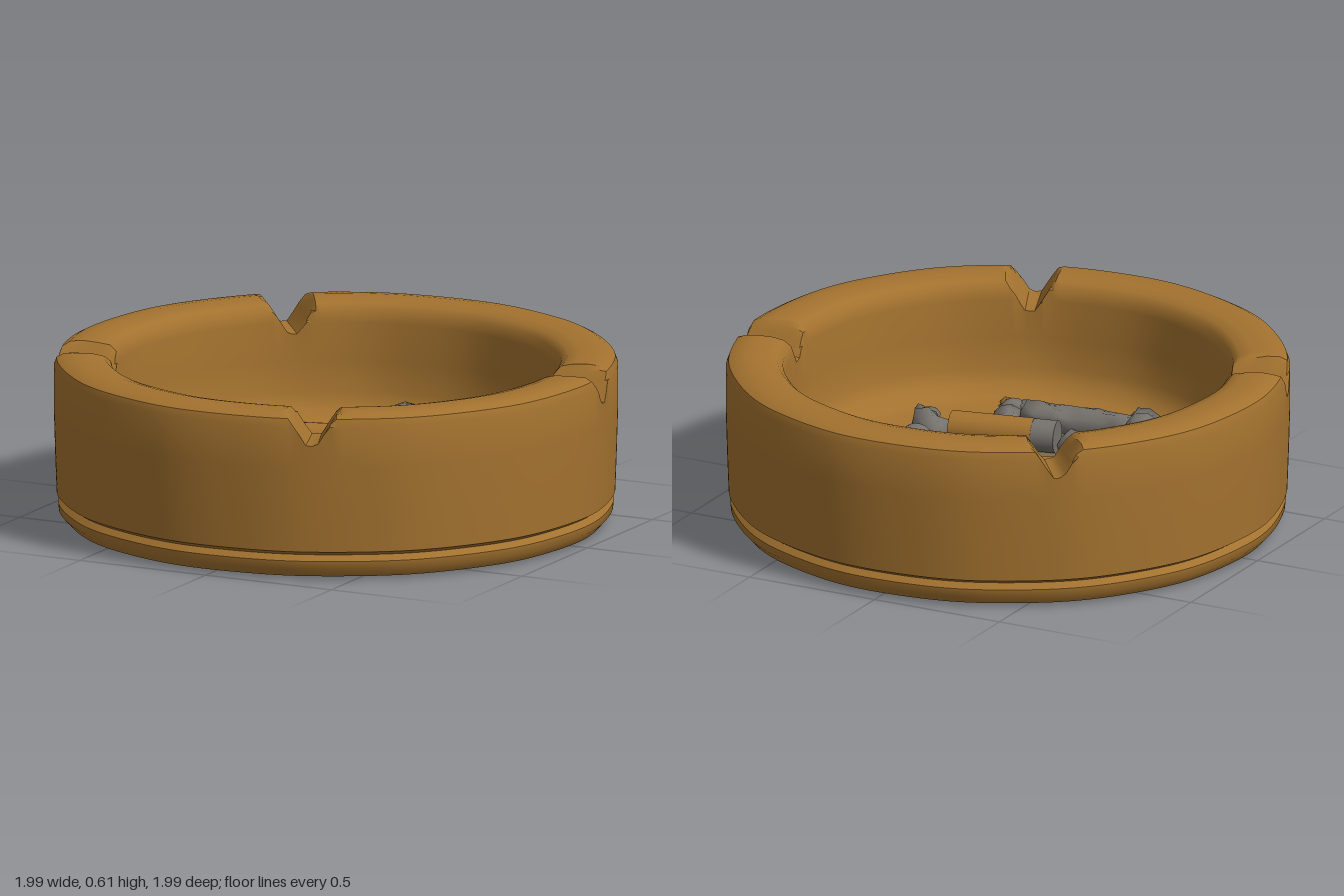
import * as THREE from 'three';
import { mergeGeometries, mergeVertices, toCreasedNormals } from 'three/addons/utils/BufferGeometryUtils.js';

const FLOOR = 0.19;
const clay = new THREE.MeshStandardMaterial({ color: 0xa3722f });
clay.name = 'ochre clay';
const ash = new THREE.MeshStandardMaterial({ color: 0x76726d });
ash.name = 'grey ash';
const smudge = new THREE.MeshStandardMaterial({ color: 0x80694b });
smudge.name = 'ash smudge';

// Seeded random numbers
let seed = 7;
const rand = () => (seed = (seed * 16807) % 2147483647) / 2147483647;
const range = (a, b) => a + (b - a) * rand();

function part(name, geometry, material) {
  const mesh = new THREE.Mesh(geometry, material);
  mesh.name = name;
  return mesh;
}

// Strip to shared positions so displaced surfaces stay closed
function weld(geometry) {
  geometry.deleteAttribute('uv');
  geometry.deleteAttribute('normal');
  return mergeVertices(geometry, 1e-4);
}

// Round bowl: lathe whose rim is pressed down at four V-shaped rests
function bowl() {
  const profile = [
    [0, 0.01], [0.9, 0.01], [0.955, 0.02], [0.982, 0.05], [0.985, 0.08], [0.965, 0.1],
    [0.975, 0.108], [0.99, 0.115], [0.995, 0.25], [1, 0.42], [1, 0.57], [0.99, 0.597], [0.965, 0.61],
    [0.92, 0.615], [0.86, 0.612], [0.82, 0.603], [0.797, 0.58], [0.79, 0.54], [0.785, 0.4],
    [0.775, 0.29], [0.755, 0.24], [0.71, 0.205], [0.64, FLOOR], [0.4, FLOOR], [0, FLOOR]
  ].map(([r, y]) => new THREE.Vector2(r, y));
  const g = weld(new THREE.LatheGeometry(profile, 288));
  const rests = [67.6, 158, 231.6, 351].map(THREE.MathUtils.degToRad);
  const p = g.attributes.position;
  for (let i = 0; i < p.count; i++) {
    const x = p.getX(i), y = p.getY(i), z = p.getZ(i);
    const a = Math.atan2(z, x), r = Math.hypot(x, z);
    let top = 1;
    for (const rest of rests) {
      if (Math.cos(a - rest) < 0) continue;
      const s = Math.abs(Math.sin(a - rest)) * r;
      top = Math.min(top, 0.5 + Math.max(0, s - 0.018) * 1.6);
    }
    // Slightly uneven hand-made wall
    const k = r > 0.7 ? 1 - 0.004 * (1 + Math.sin(a * 9 + 1) * Math.sin(a * 5)) : 1;
    p.setXYZ(i, x * k, Math.min(y, top), z * k);
  }
  return part('bowl', toCreasedNormals(g, 0.65), clay);
}

// Rough ash lump resting at a given height
function lump(x, z, sx, sy, sz, detail = 1, y = FLOOR + sy * 0.6) {
  const g = weld(new THREE.IcosahedronGeometry(1, detail));
  const p = g.attributes.position;
  for (let i = 0; i < p.count; i++) {
    const k = range(0.7, 1.25);
    p.setXYZ(i, p.getX(i) * k * sx, p.getY(i) * k * sy, p.getZ(i) * k * sz);
  }
  g.rotateY(range(-0.4, 0.4));
  g.translate(x, y, z);
  g.computeVertexNormals();
  return g;
}

// Rod between two points, optionally roughened
function rod(a, b, radius, rough = 0) {
  const start = new THREE.Vector3(...a), end = new THREE.Vector3(...b);
  const dir = end.clone().sub(start);
  let g = new THREE.CylinderGeometry(radius, radius, dir.length(), rough ? 10 : 20, rough ? 9 : 1);
  if (rough) {
    g = weld(g);
    const p = g.attributes.position;
    for (let i = 0; i < p.count; i++) {
      const k = 1 + range(-rough, rough);
      p.setXYZ(i, p.getX(i) * k, p.getY(i) + range(-0.01, 0.01), p.getZ(i) * k);
    }
    g.computeVertexNormals();
  }
  g.applyQuaternion(new THREE.Quaternion().setFromUnitVectors(new THREE.Vector3(0, 1, 0), dir.clone().normalize()));
  const mid = start.add(end).multiplyScalar(0.5);
  return g.translate(mid.x, mid.y, mid.z);
}

// Stub with a clean filter and a burnt end
function stub(name, a, b, radius, burnt) {
  const group = new THREE.Group();
  group.name = name;
  const split = a.map((v, i) => v + (b[i] - v) * (1 - burnt));
  group.add(part('filter', rod(a, split, radius), clay), part('burntEnd', rod(split, b, radius * 0.98), ash));
  return group;
}

// Thin irregular stain on the bowl floor
function stain(x, z, rx, rz, height) {
  const pts = [];
  for (let i = 0; i < 14; i++) {
    const a = (i / 14) * Math.PI * 2, k = range(0.75, 1.1);
    pts.push(new THREE.Vector2(Math.cos(a) * rx * k, Math.sin(a) * rz * k));
  }
  return new THREE.ShapeGeometry(new THREE.Shape(pts)).rotateX(-Math.PI / 2).translate(x, FLOOR + height, z);
}

export function createModel() {
  seed = 7;
  const model = new THREE.Group();
  model.name = 'ashtray';
  model.add(bowl());

  model.add(part('floorStains', mergeGeometries([
    stain(0.04, -0.36, 0.22, 0.17, 0.003),
    stain(-0.06, 0.02, 0.2, 0.28, 0.004),
    stain(-0.16, 0.32, 0.2, 0.17, 0.005)
  ]), smudge));

  model.add(
    stub('leftStub', [-0.34, 0.25, -0.09], [0.06, 0.25, -0.23], 0.058, 0.27),
    stub('backStub', [0.25, 0.27, -0.58], [0.325, 0.26, -0.07], 0.066, 0.25),
    stub('frontStub', [0.3, 0.25, 0.14], [-0.08, 0.25, 0.22], 0.06, 0.22)
  );

  // Fully burnt, crumbling stubs
  model.add(part('charredStubs', mergeGeometries([
    rod([-0.4, 0.24, 0.16], [-0.28, 0.24, 0.5], 0.062, 0.2),
    rod([-0.29, 0.23, 0.48], [0.15, 0.23, 0.42], 0.052, 0.2)
  ]), ash));

  // Large lumps: x, z, half width, half height, half depth
  const lumps = [
    [-0.04, -0.63, 0.075, 0.06, 0.09], [-0.13, -0.47, 0.07, 0.05, 0.07], [-0.01, -0.52, 0.06, 0.04, 0.04],
    [0.05, -0.53, 0.04, 0.04, 0.04], [0.49, -0.52, 0.05, 0.06, 0.08], [-0.31, -0.36, 0.05, 0.04, 0.07],
    [-0.43, -0.23, 0.05, 0.06, 0.08], [0.17, -0.15, 0.06, 0.05, 0.08], [0.12, -0.06, 0.06, 0.04, 0.06],
    [0.43, -0.16, 0.05, 0.05, 0.07], [0.38, 0.12, 0.085, 0.07, 0.065], [-0.13, 0.25, 0.06, 0.05, 0.05],
    [-0.53, 0.2, 0.05, 0.05, 0.05], [-0.43, 0.49, 0.07, 0.05, 0.055], [-0.29, 0.5, 0.075, 0.06, 0.055],
    [0.19, 0.36, 0.05, 0.05, 0.06], [-0.27, -0.59, 0.04, 0.03, 0.03], [0.47, 0.29, 0.045, 0.035, 0.035],
    [0.27, 0.54, 0.045, 0.03, 0.04], [-0.15, 0.17, 0.035, 0.03, 0.03], [0.2, -0.22, 0.04, 0.05, 0.04]
  ];
  model.add(part('ashLumps', mergeGeometries(lumps.map((l) => lump(...l))), ash));

  // Scattered crumbs
  const crumbs = [], flakes = [];
  for (let i = 0; i < 125; i++) {
    const a = range(0, Math.PI * 2), r = 0.66 * Math.sqrt(range(0.1, 1)), s = range(0.01, 0.028);
    (i % 4 ? crumbs : flakes).push(lump(Math.cos(a) * r, Math.sin(a) * r, s, s * range(0.6, 1), s * range(0.6, 1.3), 0));
  }
  model.add(part('ashCrumbs', mergeGeometries(crumbs), ash), part('clayFlakes', mergeGeometries(flakes), clay));
  return model;
}
